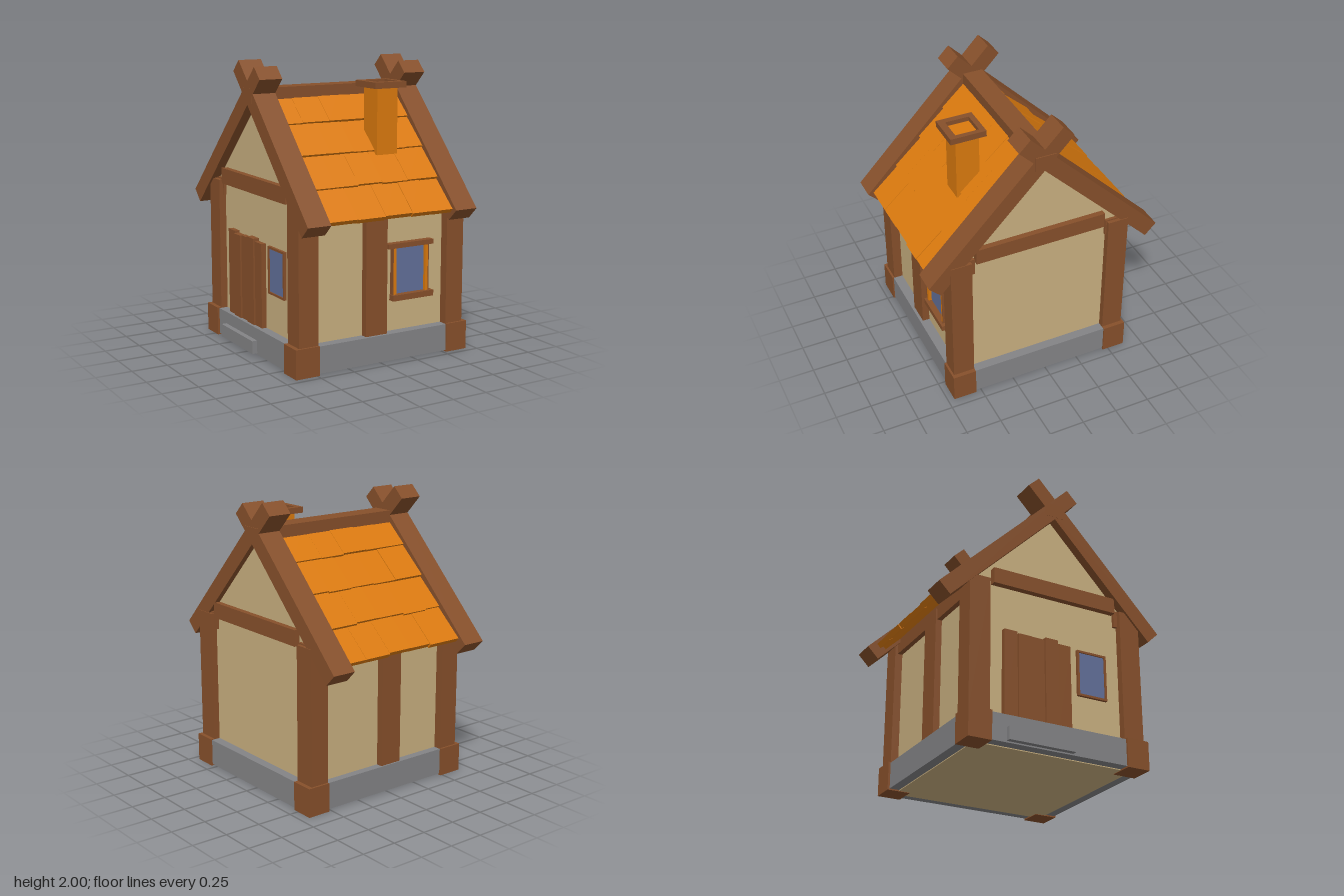
import * as THREE from 'three';

const mat = (name, color, extra = {}) => {
  const m = new THREE.MeshStandardMaterial({ color, ...extra });
  m.name = name;
  return m;
};

export function createModel() {
  const wood = mat('wood', 0x87502b);
  const plaster = mat('plaster', 0xc9b080);
  const tile = mat('roofTile', 0xdb7a0e);
  const stone = mat('stone', 0x848486);
  const glass = mat('glass', 0x62709a);

  const model = new THREE.Group();
  model.name = 'cottage';

  let seed = 7;
  const jitter = (a) => {
    seed = (seed * 16807) % 2147483647;
    return (seed / 2147483647 - 0.5) * 2 * a;
  };

  // Box from its limits on each axis
  const box = (name, m, x0, x1, y0, y1, z0, z1, parent = model) => {
    const mesh = new THREE.Mesh(new THREE.BoxGeometry(x1 - x0, y1 - y0, z1 - z0), m);
    mesh.position.set((x0 + x1) / 2, (y0 + y1) / 2, (z0 + z1) / 2);
    mesh.name = name;
    parent.add(mesh);
    return mesh;
  };

  // Foundation and floor
  box('foundation', stone, -0.645, 0.675, 0.01, 0.195, -0.61, 0.695);
  box('floor', plaster, -0.57, 0.6, 0.004, 0.012, -0.54, 0.62);
  box('doorStep', stone, -0.682, -0.6, 0.02, 0.11, -0.35, 0.13);

  // Plastered body with gables, extruded along x
  const gable = new THREE.Shape([
    [-0.625, 0.19], [0.555, 0.19], [0.555, 1.15], [-0.028, 1.705], [-0.625, 1.1],
  ].map(([a, b]) => new THREE.Vector2(a, b)));
  const body = new THREE.Mesh(
    new THREE.ExtrudeGeometry(gable, { depth: 1.19, bevelEnabled: false }), plaster);
  body.rotation.y = Math.PI / 2; // shape x becomes -z
  body.position.x = -0.58;
  body.name = 'walls';
  model.add(body);

  // Corner posts with blocky feet
  for (const [x0, x1] of [[-0.63, -0.485], [0.52, 0.655]]) {
    for (const [z0, z1] of [[0.54, 0.69], [-0.61, -0.46]]) {
      box('cornerPost', wood, x0, x1, 0.19, 1.13, z0, z1);
      const out = x0 < 0 ? [x0 - 0.03, x1] : [x0, x1 + 0.03];
      box('postFoot', wood, ...out, 0, 0.2, z0 < 0 ? z0 - 0.015 : z0, z1 > 0 ? z1 + 0.015 : z1);
    }
  }

  // Middle posts, eave plates and gable tie beams
  box('frontMiddlePost', wood, -0.115, 0.05, 0.19, 1.1, 0.6, 0.675);
  box('backMiddlePost', wood, -0.115, 0.05, 0.19, 1.1, -0.6, -0.53);
  box('frontEavePlate', wood, -0.6, 0.63, 1.02, 1.14, 0.51, 0.66);
  box('backEavePlate', wood, -0.6, 0.63, 1.02, 1.14, -0.59, -0.45);
  box('rightTieBeam', wood, -0.625, -0.57, 1.11, 1.22, -0.43, 0.505);
  box('leftTieBeam', wood, 0.6, 0.65, 1.11, 1.22, -0.43, 0.505);

  // Crossed rafters
  const rafter = (x, z0, y0, z1, y1) => {
    const len = Math.hypot(z1 - z0, y1 - y0);
    const mesh = new THREE.Mesh(new THREE.BoxGeometry(0.168, 0.112, len), wood);
    mesh.position.set(x, (y0 + y1) / 2, (z0 + z1) / 2);
    mesh.rotation.x = Math.atan2(-(y1 - y0), z1 - z0);
    mesh.name = 'rafter';
    model.add(mesh);
  };
  for (const x of [-0.562, 0.566]) {
    rafter(x, 0.8, 0.98, -0.135, 1.957);
    rafter(x, -0.797, 0.97, 0.17, 1.925);
  }
  box('ridgeBeam', wood, -0.647, 0.657, 1.72, 1.82, -0.05, 0.095);

  // Tiled slopes: rows of overlapping, slightly uneven tiles
  for (const s of [1, -1]) {
    const slope = new THREE.Group();
    slope.name = s > 0 ? 'frontRoof' : 'backRoof';
    slope.position.set(0, 1.785, 0.028);
    slope.rotation.x = s * (s > 0 ? 0.806 : 0.779);
    model.add(slope);
    const deck = box('roofDeck', tile, -0.482, 0.482, -0.035, -0.005, -0.51, 0.51, slope);
    deck.position.z = s * 0.55;
    for (let row = 0; row < 4; row++) {
      let x = -0.482;
      for (let i = 0; i < 5; i++) {
        const next = i === 4 ? 0.482 : -0.482 + 0.193 * (i + 1) + (row % 2 ? 0.05 : -0.04) + jitter(0.02);
        const end = 0.03 + 0.264 * (row + 1) + jitter(0.006);
        const t = box('roofTile', tile, x, next, -0.022, 0.016, -0.148, 0.148, slope);
        t.position.z = s * (end - 0.148);
        t.position.y += 0.008 + jitter(0.004);
        t.rotation.x = -s * 0.06;
        x = next;
      }
    }
  }

  // Chimney with a square rim
  box('chimney', tile, 0.095, 0.255, 1.37, 1.83, 0.303, 0.467);
  box('chimneyRimFront', wood, 0.05, 0.292, 1.818, 1.86, 0.467, 0.515);
  box('chimneyRimBack', wood, 0.05, 0.292, 1.818, 1.86, 0.265, 0.303);
  box('chimneyRimRight', wood, 0.05, 0.093, 1.818, 1.86, 0.303, 0.467);
  box('chimneyRimLeft', wood, 0.257, 0.292, 1.818, 1.86, 0.303, 0.467);

  // Front window
  box('windowPane', glass, 0.13, 0.375, 0.44, 0.775, 0.624, 0.632);
  for (const [a, b, c] of [[0.112, 0.136, 0.106], [0.37, 0.39, 0.39]]) {
    box('windowJamb', tile, a, b, 0.44, 0.775, 0.62, 0.655);
    box('windowFrameSide', wood, c, c + 0.006, 0.44, 0.775, 0.62, 0.657);
  }
  box('windowLintel', wood, 0.06, 0.42, 0.77, 0.803, 0.62, 0.675);
  box('windowSill', wood, 0.1, 0.425, 0.408, 0.448, 0.62, 0.675);

  // Side window beside the door
  box('sideWindowPane', glass, -0.592, -0.584, 0.47, 0.765, 0.225, 0.42);
  box('sideWindowTop', wood, -0.6, -0.575, 0.765, 0.78, 0.21, 0.435);
  box('sideWindowBottom', wood, -0.6, -0.575, 0.455, 0.47, 0.21, 0.435);
  box('sideWindowEdge', wood, -0.6, -0.575, 0.47, 0.765, 0.21, 0.225);
  box('sideWindowEdge', wood, -0.6, -0.575, 0.47, 0.765, 0.42, 0.435);

  // Plank door
  for (let i = 0; i < 5; i++) {
    const z = -0.35 + i * 0.1;
    box('doorPlank', wood, -0.615 - (i % 2) * 0.01, -0.57, 0.195, 0.79 + jitter(0.012), z, z + 0.097);
  }

  return model;
}
